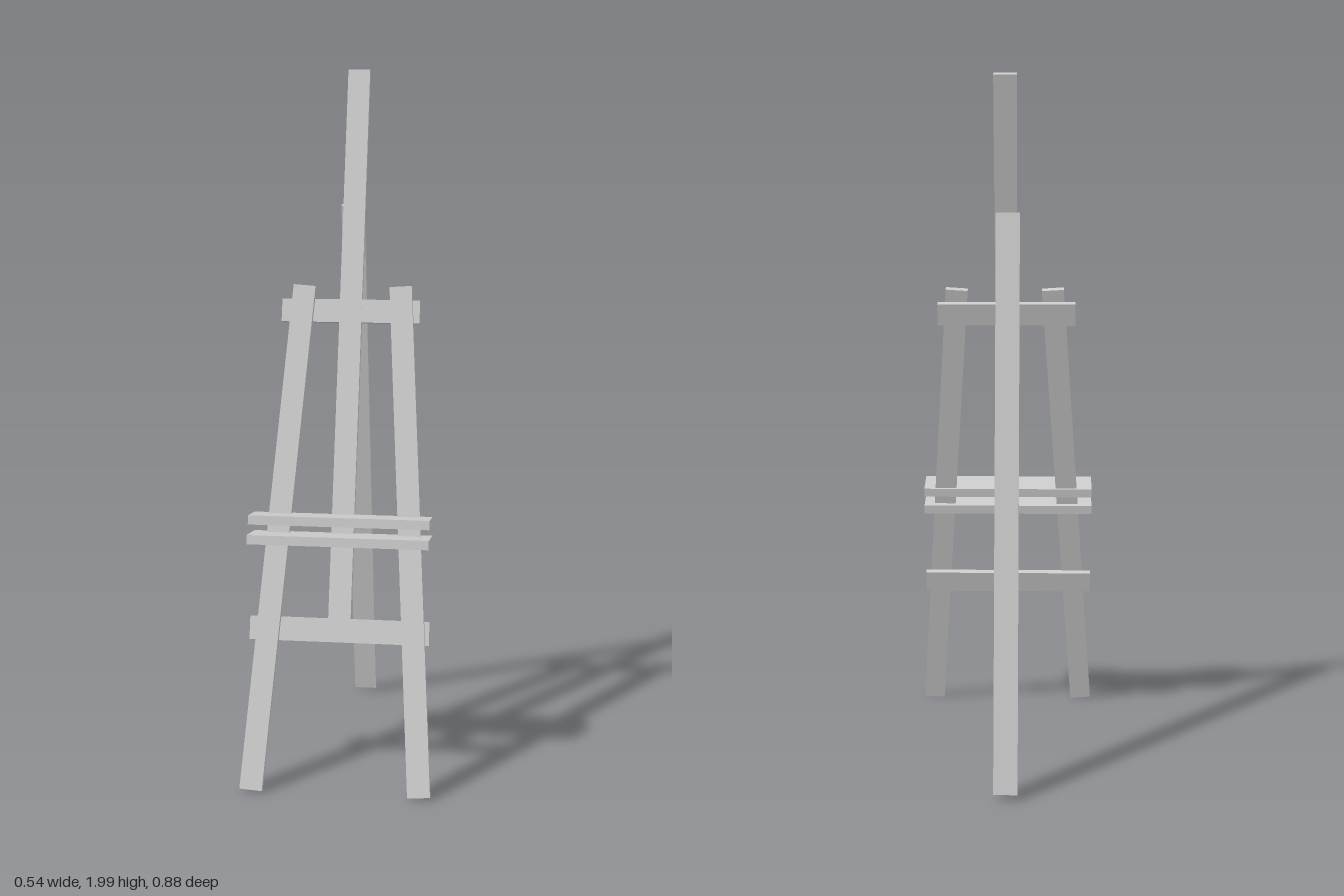
import * as THREE from 'three';

const material = new THREE.MeshStandardMaterial({ color: 0xcccccc, flatShading: true });
const THICK = 0.019;

function board(name, size, position, parent) {
  const mesh = new THREE.Mesh(new THREE.BoxGeometry(...size), material);
  mesh.name = name;
  mesh.position.set(...position);
  parent.add(mesh);
  return mesh;
}

export function createModel() {
  const model = new THREE.Group();
  model.name = 'easel';

  // Leaning front frame: local y runs up the slope, local z is its normal
  const lean = Math.atan(0.304);
  const up = (y) => y / Math.cos(lean);
  const frame = new THREE.Group();
  frame.name = 'frontFrame';
  frame.position.set(0, 0.005, 0.428);
  frame.rotation.x = -lean;
  model.add(frame);

  // Splayed front legs
  const footX = 0.237, headX = 0.139, rise = up(1.377);
  for (const [name, side] of [['leftLeg', 1], ['rightLeg', -1]]) {
    const leg = board(name, [0.064, Math.hypot(rise, footX - headX), THICK],
      [side * (footX + headX) / 2, rise / 2, 0], frame);
    leg.rotation.z = side * Math.atan((footX - headX) / rise);
  }

  // Mast and crossbars lie in one plane behind the legs
  const back = -0.018;
  const mastLow = up(0.41), mastHigh = up(1.992);
  board('mast', [0.064, mastHigh - mastLow, THICK], [-0.005, (mastLow + mastHigh) / 2, back], frame);
  board('upperCrossbar', [0.4, 0.067, THICK - 0.001], [-0.005, up(1.31), back], frame);
  board('lowerCrossbar', [0.512, 0.067, THICK - 0.001], [-0.005, up(0.434), back], frame);

  // Two stacked shelf boards, tipped back toward the mast
  for (const [name, y, zBack, zFront] of [
    ['upperShelf', 0.745, 0.185, 0.295],
    ['lowerShelf', 0.693, 0.19, 0.321],
  ]) {
    const shelf = board(name, [0.512, 0.026, zFront - zBack], [-0.006, y, (zBack + zFront) / 2], model);
    shelf.rotation.x = -0.15;
  }

  // Rear prop leg
  const top = new THREE.Vector2(-0.09, 1.608), foot = new THREE.Vector2(-0.428, 0.015);
  const rear = board('rearLeg', [0.068, top.distanceTo(foot), 0.02],
    [-0.011, (top.y + foot.y) / 2, (top.x + foot.x) / 2], model);
  rear.rotation.x = Math.atan2(top.x - foot.x, top.y - foot.y);

  return model;
}
